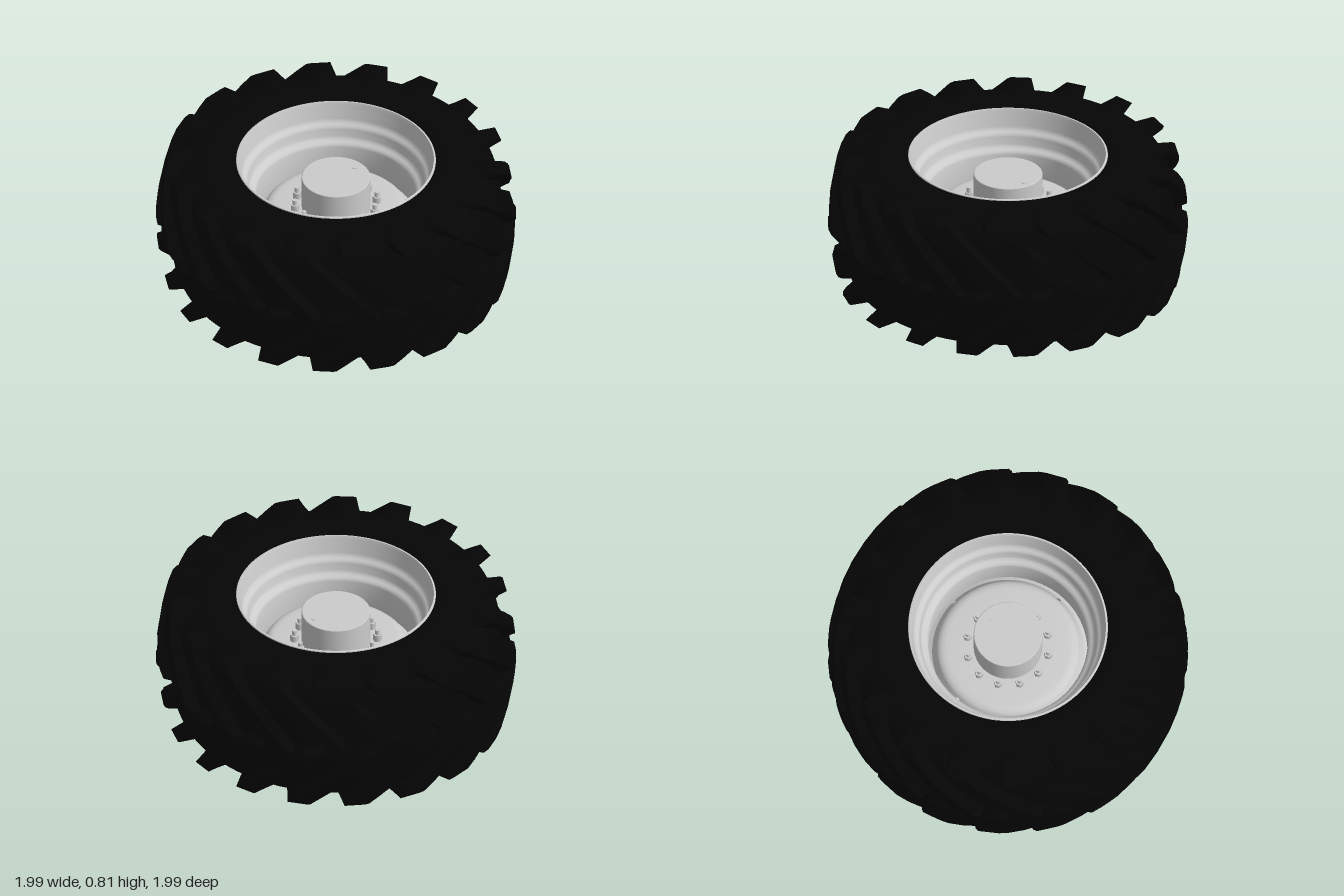
import * as THREE from 'three';
import { mergeGeometries, toCreasedNormals } from 'three/addons/utils/BufferGeometryUtils.js';

const MID = 0.405; // height of the wheel's centre plane
const LUGS = 18;   // tread bars per half

const metal = new THREE.MeshStandardMaterial({ color: 0xcccccc, side: THREE.DoubleSide });
const rubber = new THREE.MeshStandardMaterial({ color: 0x050505, side: THREE.DoubleSide });

const vec = ([x, y]) => new THREE.Vector2(x, y);

function add(parent, name, geometry, material) {
  const mesh = new THREE.Mesh(geometry, material);
  mesh.name = name;
  parent.add(mesh);
  return mesh;
}

// Mirror a half profile, listed from edge to centre plane, about the plane
function mirrored(half) {
  const low = half.map(([r, h]) => [r, MID - h]);
  const high = half.filter(([, h]) => h > 0).map(([r, h]) => [r, MID + h]).reverse();
  return [...low, ...high].map(vec);
}

const lathe = (points, crease) =>
  toCreasedNormals(new THREE.LatheGeometry(points, 96), crease);

// One tread bar, swept from the centre plane to the shoulder
// station: [angle, outer radius, outer h, inner radius, inner h, top half width, base half width]
const STATIONS = [
  [-0.02, 0.99, 0.0, 0.905, -0.02, 0.04, 0.075],
  [0.03, 0.998, 0.03, 0.905, 0.03, 0.048, 0.082],
  [0.07, 0.994, 0.08, 0.9, 0.08, 0.05, 0.085],
  [0.16, 0.984, 0.16, 0.89, 0.16, 0.053, 0.09],
  [0.27, 0.968, 0.25, 0.875, 0.25, 0.056, 0.095],
  [0.37, 0.952, 0.33, 0.85, 0.31, 0.06, 0.1],
  [0.42, 0.938, 0.375, 0.825, 0.34, 0.062, 0.105],
  [0.44, 0.918, 0.393, 0.805, 0.36, 0.062, 0.108],
  [0.45, 0.85, 0.398, 0.78, 0.375, 0.062, 0.105],
  [0.46, 0.74, 0.398, 0.73, 0.385, 0.05, 0.08],
];

function lugGeometry(side) {
  const position = [], index = [];
  const put = (a, r, h) => position.push(r * Math.cos(a), MID + side * h, r * Math.sin(a));
  const tri = (a, b, c) => (side > 0 ? index.push(a, b, c) : index.push(a, c, b));
  STATIONS.forEach(([a, ro, ho, ri, hi, wt, wb]) => {
    put(a - wb, ri, hi);
    put(a - wt, ro, ho);
    put(a + wt, ro, ho);
    put(a + wb, ri, hi);
  });
  for (let i = 0; i < STATIONS.length - 1; i++) {
    for (let j = 0; j < 3; j++) {
      const p = i * 4 + j;
      tri(p, p + 4, p + 1);
      tri(p + 1, p + 4, p + 5);
    }
  }
  tri(0, 1, 2); // nose of the bar
  tri(0, 2, 3);
  const geometry = new THREE.BufferGeometry();
  geometry.setAttribute('position', new THREE.Float32BufferAttribute(position, 3));
  geometry.setIndex(index);
  return toCreasedNormals(geometry, 0.9);
}

function buildTyre() {
  const tyre = new THREE.Group();
  tyre.name = 'tyre';

  // Rounded carcass
  const profile = mirrored([
    [0.545, 0.375], [0.565, 0.396], [0.63, 0.405], [0.72, 0.397],
    [0.795, 0.38], [0.855, 0.345], [0.89, 0.28], [0.91, 0.18], [0.922, 0],
  ]);
  add(tyre, 'carcass', new THREE.LatheGeometry(new THREE.SplineCurve(profile).getPoints(56), 96), rubber);

  // Chevron tread, the lower half staggered by half a pitch
  for (const [side, phase, name] of [[1, 0.05, 'upperTread'], [-1, 0.55, 'lowerTread']]) {
    const bars = [];
    for (let i = 0; i < LUGS; i++) {
      bars.push(lugGeometry(side).rotateY((i + phase) * Math.PI * 2 / LUGS));
    }
    add(tyre, name, mergeGeometries(bars), rubber);
  }
  return tyre;
}

function buildWheel() {
  const wheel = new THREE.Group();
  wheel.name = 'wheel';

  // Rim with two ledges stepping down to the centre barrel
  add(wheel, 'rim', lathe(mirrored([
    [0.555, 0.38], [0.552, 0.394], [0.542, 0.396], [0.536, 0.38], [0.524, 0.295],
    [0.518, 0.278], [0.506, 0.268], [0.494, 0.26], [0.489, 0.245], [0.483, 0.205],
    [0.476, 0.19], [0.462, 0.182], [0.447, 0.174], [0.441, 0.158], [0.44, 0],
  ]), 1.0), metal);

  // Dished disc
  add(wheel, 'disc', lathe([
    [0.4, 0.44], [0.394, 0.455], [0.383, 0.467], [0.365, 0.476], [0.34, 0.48], [0.19, 0.48],
  ].map(vec), 0.9), metal);

  // Sloping disc skirt, broken by four small slots, and its seat on the rim
  const skirt = [[0.42, 0.405], [0.4, 0.44]].map(vec);
  const gap = 0.05;
  for (let i = 0; i < 4; i++) {
    const quarter = new THREE.LatheGeometry(skirt, 24, i * Math.PI / 2 + gap / 2, Math.PI / 2 - gap);
    add(wheel, 'discSkirt', quarter, metal);
  }
  add(wheel, 'discSeat', lathe([[0.441, 0.395], [0.42, 0.405]].map(vec), 0.6), metal);

  // Hub, hollow from below
  add(wheel, 'hub', lathe([[0.19, 0.47], [0.19, 0.677], [0.187, 0.68], [0, 0.68]].map(vec), 0.6), metal);
  const plug = add(wheel, 'hubPlug', new THREE.CylinderGeometry(0.018, 0.018, 0.004, 20), metal);
  plug.position.set(0.14, 0.681, 0);

  // Ring of nuts on studs
  const nut = new THREE.CylinderGeometry(0.024, 0.024, 0.04, 6);
  const stud = new THREE.CylinderGeometry(0.013, 0.013, 0.07, 12);
  for (let i = 0; i < 12; i++) {
    const bolt = new THREE.Group();
    bolt.name = 'wheelBolt';
    const a = i * Math.PI / 6;
    bolt.position.set(0.23 * Math.cos(a), 0.48, 0.23 * Math.sin(a));
    add(bolt, 'nut', nut, metal).position.y = 0.02;
    add(bolt, 'stud', stud, metal).position.y = 0.035;
    wheel.add(bolt);
  }
  return wheel;
}

export function createModel() {
  const model = new THREE.Group();
  model.name = 'tractorWheel';
  model.add(buildTyre(), buildWheel());
  return model;
}
